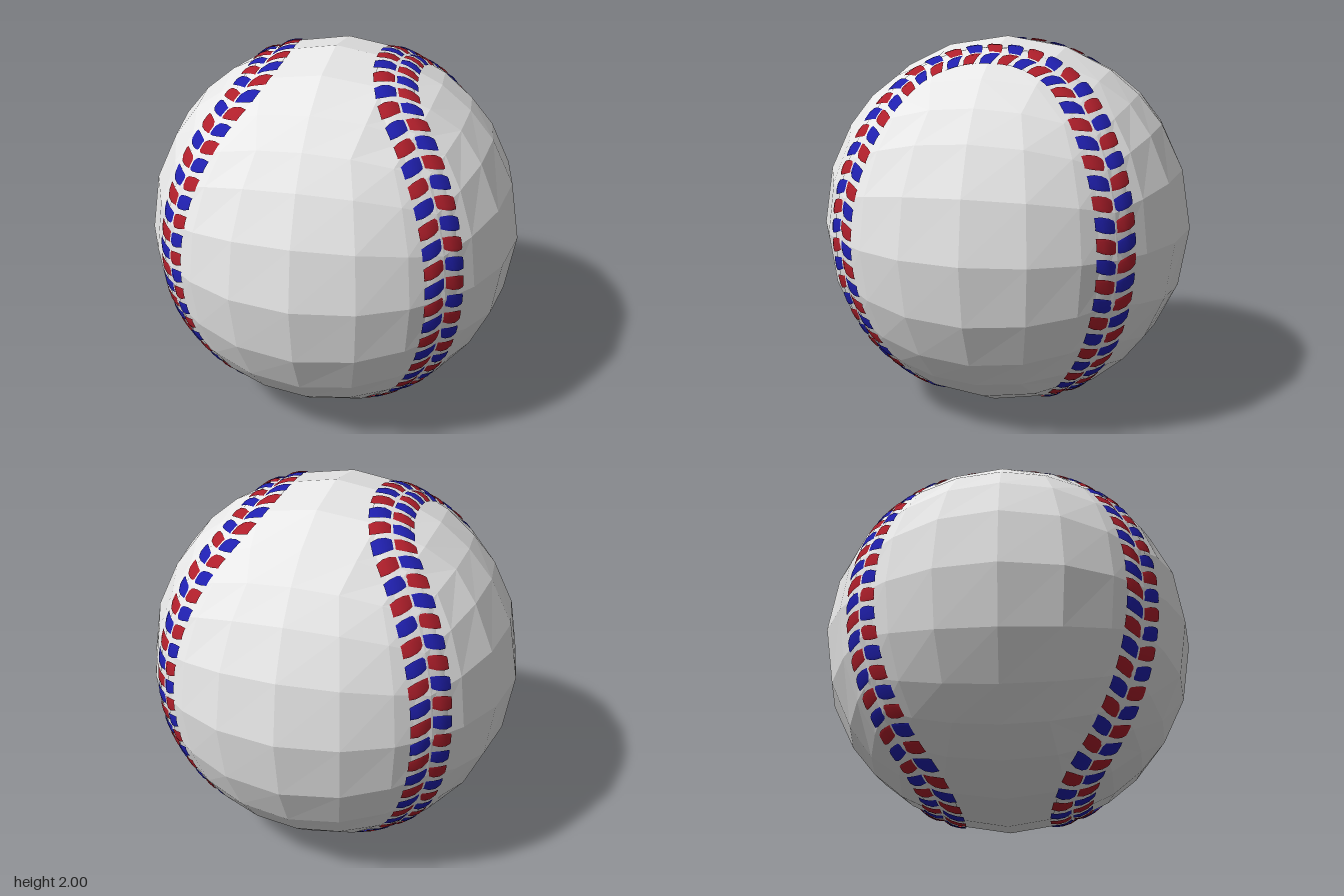
import * as THREE from 'three';
import { mergeGeometries } from 'three/addons/utils/BufferGeometryUtils.js';

const material = (name, color) => {
  const m = new THREE.MeshStandardMaterial({ color });
  m.name = name;
  return m;
};

// Seam on the unit sphere: crests near the top at +-x and near the bottom at +-z,
// joined by nearly straight runs along the diagonals
function seamCurve() {
  const eighth = [[0.335, 0.942, 0], [0.347, 0.92, 0.18], [0.41, 0.83, 0.375],
    [0.51, 0.7, 0.5], [0.625, 0.47, 0.622]];
  const down = [...eighth, [0.707, 0, 0.707],
    ...eighth.map(([x, y, z]) => [z, -y, x]).reverse()];
  const up = down.map(([x, y, z]) => [-x, y, z]).reverse();
  const half = [...down, ...up.slice(1, -1)];
  const loop = [...half, ...half.map(([x, y, z]) => [-x, y, -z])];
  const curve = new THREE.CatmullRomCurve3(
    loop.map((p) => new THREE.Vector3(...p).normalize()), true);
  curve.arcLengthDivisions = 800;
  return curve;
}
const seam = seamCurve();
const seamLength = seam.getLength();
const seamPoint = (t) => seam.getPointAt(((t % 1) + 1) % 1).normalize();

// Point at seam fraction t, sideways offset s, distance r from the ball's centre
function seamOffset(t, s, r) {
  const p = seamPoint(t);
  const tangent = seamPoint(t + 0.001).sub(seamPoint(t - 0.001));
  const side = p.clone().cross(tangent).normalize();
  return p.multiplyScalar(Math.cos(s)).addScaledVector(side, Math.sin(s)).multiplyScalar(r);
}

// Grid patch: i runs along the seam, j across it
function patch(nu, nv, fn) {
  const pos = [], index = [];
  for (let i = 0; i <= nu; i++) {
    for (let j = 0; j <= nv; j++) {
      pos.push(...fn(i, j).toArray());
      if (i < nu && j < nv) {
        const a = i * (nv + 1) + j, b = a + nv + 1;
        index.push(a, b, b + 1, a, b + 1, a + 1);
      }
    }
  }
  const g = new THREE.BufferGeometry();
  g.setAttribute('position', new THREE.Float32BufferAttribute(pos, 3));
  g.setIndex(index);
  g.computeVertexNormals();
  return g;
}

// Ball: a gridded cube pushed out to a sphere, with flat facets
function ballGeometry() {
  const box = new THREE.BoxGeometry(2, 2, 2, 6, 6, 6);
  const pos = box.attributes.position, v = new THREE.Vector3();
  for (let i = 0; i < pos.count; i++) {
    v.fromBufferAttribute(pos, i).normalize();
    pos.setXYZ(i, v.x, v.y, v.z);
  }
  const g = box.toNonIndexed();
  g.computeVertexNormals();
  return g;
}

// One stitch: a small arched pad, slanting along the seam towards its outer end
const ACROSS = [0.006, 0.042, 0.082, 0.118];
const HEIGHT = [0.997, 1.007, 1.007, 0.999];
const HALF = [0.03, 0.037, 0.038, 0.031];
const ALONG = [-1, -0.6, 0.6, 1];
function stitchGeometry(t, side) {
  return patch(3, 3, (i, j) => {
    const k = side > 0 ? j : 3 - j;
    const shift = ALONG[i] * HALF[k] + 0.25 * (ACROSS[k] - 0.06);
    const r = HEIGHT[k] - (i === 0 || i === 3 ? 0.003 : 0);
    return seamOffset(t + shift / seamLength, side * ACROSS[k], r);
  });
}

export function createModel() {
  const ball = new THREE.Group();
  ball.name = 'baseball';
  ball.position.y = 1;
  const add = (name, geometry, mat) => {
    const mesh = new THREE.Mesh(geometry, mat);
    mesh.name = name;
    ball.add(mesh);
  };

  const leather = material('leather white', 0xe8e8e8);
  add('ballCover', ballGeometry(), leather);

  // Strip under the stitches, creased along the middle
  const stripS = [-0.1, -0.055, 0, 0.055, 0.1];
  const stripR = [0.988, 1.001, 0.992, 1.001, 0.988];
  add('seamStrip', patch(220, 4, (i, j) => seamOffset(i / 220, stripS[j], stripR[j])), leather);

  // Two rows of stitches with alternating colours, opposite across the seam
  const COUNT = 110, red = [], blue = [];
  for (let n = 0; n < COUNT; n++) {
    (n % 2 ? red : blue).push(stitchGeometry(n / COUNT, 1));
    (n % 2 ? blue : red).push(stitchGeometry(n / COUNT, -1));
  }
  const threads = [
    ['redStitches', red, material('thread red', 0xb01f2b)],
    ['blueStitches', blue, material('thread blue', 0x2020b0)],
  ];
  for (const [name, parts, mat] of threads) {
    mat.side = THREE.DoubleSide;
    add(name, mergeGeometries(parts), mat);
  }

  const root = new THREE.Group();
  root.add(ball);
  return root;
}
